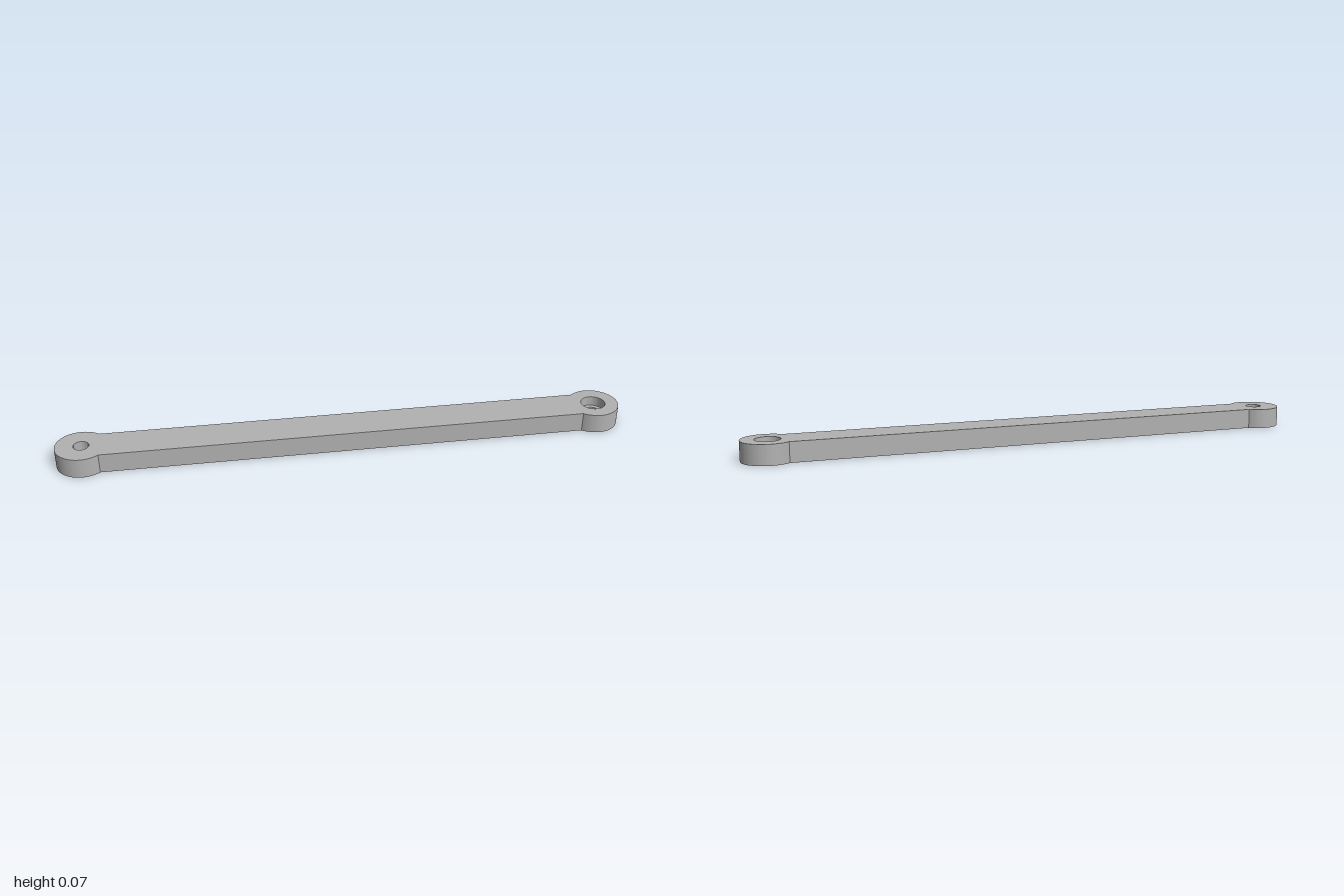
import * as THREE from 'three';
import { toCreasedNormals } from 'three/addons/utils/BufferGeometryUtils.js';

const HEIGHT = 0.07, EYE_X = 0.91, EYE_R = 0.09, BAR_HALF = 0.068;
const HOLE_R = 0.027, BORE_R = 0.043, BORE_FLOOR = 0.035;

function circle(x, r) {
  return new THREE.Path().absarc(x, 0, r, 0, Math.PI * 2, true);
}

// Extrude a plan shape upward from y = 0, smooth around the curves only
function slab(shape, height) {
  const geometry = new THREE.ExtrudeGeometry(shape, { depth: height, bevelEnabled: false, curveSegments: 48 });
  geometry.rotateX(-Math.PI / 2);
  return toCreasedNormals(geometry, Math.PI / 6);
}

export function createModel() {
  const model = new THREE.Group();
  model.name = 'linkArm';
  const grey = new THREE.MeshStandardMaterial({ color: 0xb2b2b2 });
  grey.name = 'grey';

  // Bar with a round eye at each end, as one outline
  const a = Math.PI - Math.asin(BAR_HALF / EYE_R);
  const outline = new THREE.Shape();
  outline.absarc(EYE_X, 0, EYE_R, -a, a, false);
  outline.absarc(-EYE_X, 0, EYE_R, Math.PI - a, Math.PI + a, false);
  outline.closePath();
  outline.holes.push(circle(-EYE_X, HOLE_R), circle(EYE_X, BORE_R));
  const arm = new THREE.Mesh(slab(outline, HEIGHT), grey);
  arm.name = 'armWithEyes';
  model.add(arm);

  // Stepped floor that narrows the counterbored hole
  const ring = new THREE.Shape().absarc(EYE_X, 0, BORE_R, 0, Math.PI * 2, false);
  ring.holes.push(circle(EYE_X, HOLE_R));
  const floor = new THREE.Mesh(slab(ring, BORE_FLOOR), grey);
  floor.name = 'counterboreFloor';
  model.add(floor);

  return model;
}
